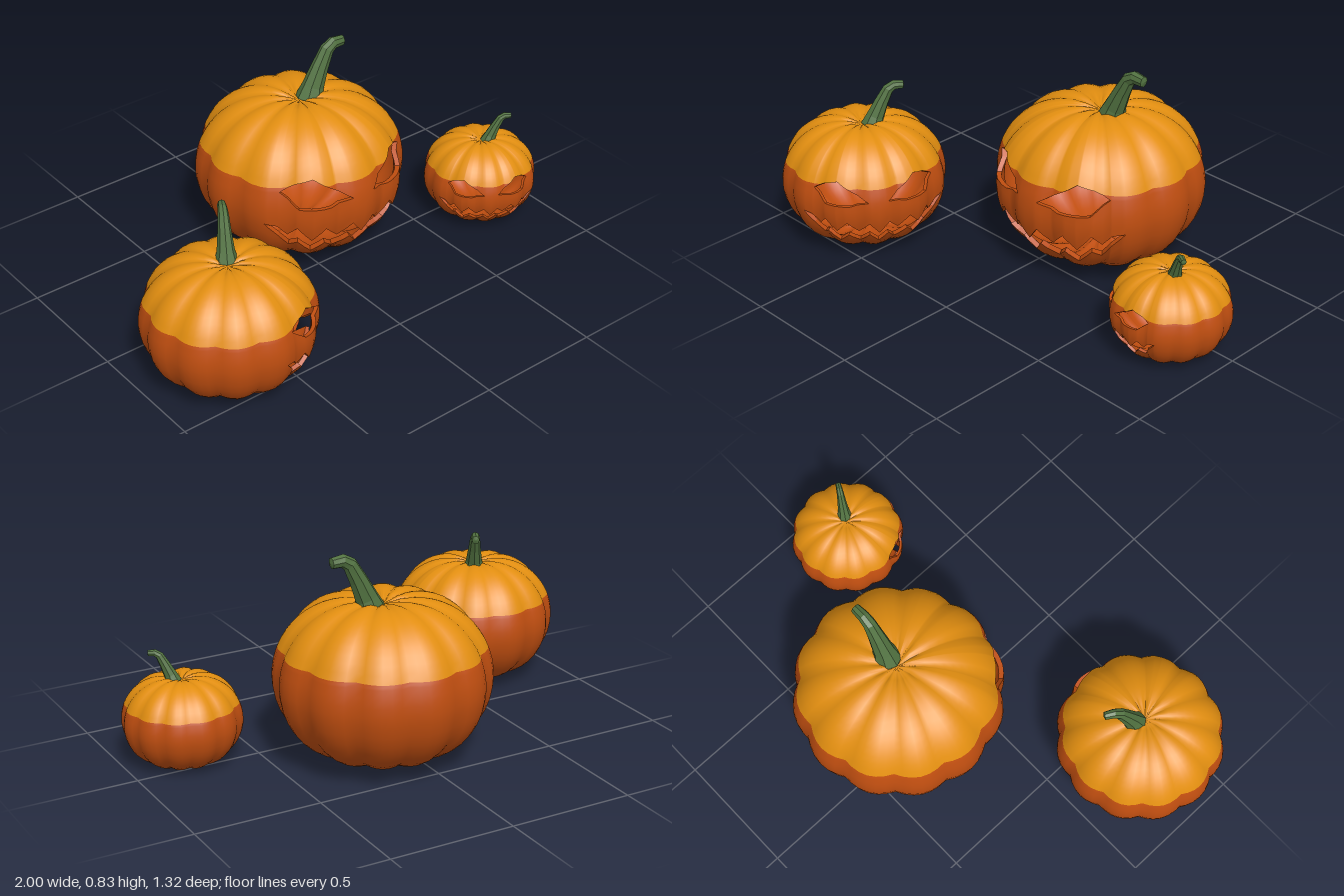
import * as THREE from 'three';
import { mergeVertices } from 'three/addons/utils/BufferGeometryUtils.js';

const mat = (name, color) => {
  const m = new THREE.MeshStandardMaterial({ color, side: THREE.DoubleSide });
  m.name = name;
  return m;
};

const SEAM = 0.43, MID = 0.312, HALF = 0.325, WALL = 0.02;

// Carved openings: [angle from the front in degrees, height], mirrored left and right
const EYE_TOP = [[7, 0.365], [17, 0.41], [30, 0.465], [40, 0.447], [49, 0.413]];
const EYE_BOTTOM = [[7, 0.365], [20, 0.345], [38, 0.35], [49, 0.413]];
const MOUTH_TOP = [[0, 0.185], [7, 0.247], [15, 0.19], [23, 0.252], [31, 0.195], [39, 0.262], [45, 0.217], [50, 0.265], [57, 0.275]];
const MOUTH_BOTTOM = [[0, 0.12], [7, 0.172], [15, 0.11], [23, 0.168], [31, 0.12], [39, 0.182], [45, 0.15], [50, 0.215], [57, 0.275]];

function heightAt(table, deg) {
  const a = Math.abs(deg);
  if (a <= table[0][0]) return table[0][1];
  for (let i = 1; i < table.length; i++) {
    const [a0, h0] = table[i - 1], [a1, h1] = table[i];
    if (a <= a1) return h0 + (h1 - h0) * (a - a0) / (a1 - a0);
  }
  return table[table.length - 1][1];
}

const latitude = (y) => Math.asin((y - MID) / HALF);

// Point on the ribbed, dimpled squash body
function skin(deg, phi, inset) {
  const t = THREE.MathUtils.degToRad(deg);
  const c = Math.pow(Math.max(0, Math.cos(phi)), 0.8);
  const pole = 1 - c;
  const groove = 1 - Math.abs(Math.cos(6 * t));
  const r = c * (0.418 * (1 - (0.05 + 0.08 * pole) * groove) - inset);
  const y = MID + (HALF - inset) * Math.sin(phi) * (1 - 0.12 * pole ** 4 - 0.04 * pole * groove);
  return [r * Math.sin(t), y, r * Math.cos(t)];
}

// Angular columns: regular steps plus every corner of the carving
const angles = new Set();
for (let a = -180; a <= 180; a += 5) angles.add(a);
for (const table of [EYE_TOP, EYE_BOTTOM, MOUTH_TOP, MOUTH_BOTTOM])
  for (const [a] of table) { angles.add(a); angles.add(-a); }
const columns = [...angles].sort((a, b) => a - b);

function finish(pos, smooth) {
  let g = new THREE.BufferGeometry();
  g.setAttribute('position', new THREE.Float32BufferAttribute(pos, 3));
  if (smooth) g = mergeVertices(g, 1e-5);
  g.computeVertexNormals();
  return g;
}

const quad = (pos, a, b, c, d) => pos.push(...a, ...b, ...c, ...a, ...c, ...d);

// Bands of wall: [lower latitude, upper latitude, rows]
function wall(bands, inset) {
  const pos = [];
  for (const [lo, hi, rows] of bands)
    for (let i = 0; i < columns.length - 1; i++) {
      const at = (deg, k) => skin(deg, THREE.MathUtils.lerp(lo(deg), hi(deg), k / rows), inset);
      const [a, b] = [columns[i], columns[i + 1]];
      for (let k = 0; k < rows; k++) {
        if (hi(a) - lo(a) < 1e-6 && hi(b) - lo(b) < 1e-6) continue;
        const q = [at(a, k), at(b, k), at(b, k + 1), at(a, k + 1)];
        if (inset) q.reverse();
        quad(pos, ...q);
      }
    }
  return finish(pos, true);
}

// Cut thickness around an opening
function rim(lowTable, highTable) {
  const pos = [];
  const gap = (d) => heightAt(highTable, d) - heightAt(lowTable, d) > 1e-6;
  for (let i = 0; i < columns.length - 1; i++) {
    const [a, b] = [columns[i], columns[i + 1]];
    if (!gap(a) && !gap(b)) continue;
    for (const table of [lowTable, highTable]) {
      const pa = latitude(heightAt(table, a)), pb = latitude(heightAt(table, b));
      quad(pos, skin(a, pa, 0), skin(b, pb, 0), skin(b, pb, WALL), skin(a, pa, WALL));
    }
  }
  return finish(pos, false);
}

// Bent, tapering stem made of eight-sided rings
function stemGeometry() {
  const path = [[0.055, 0.585, 0.062], [0.07, 0.635, 0.046], [0.105, 0.71, 0.036], [0.14, 0.775, 0.029], [0.17, 0.793, 0.026], [0.215, 0.79, 0.022]];
  const sides = 8, pos = [];
  const rings = path.map(([x, y, r], i) => {
    const p = path[Math.max(0, i - 1)], n = path[Math.min(path.length - 1, i + 1)];
    const len = Math.hypot(n[0] - p[0], n[1] - p[1]);
    const tx = (n[0] - p[0]) / len, ty = (n[1] - p[1]) / len;
    return Array.from({ length: sides }, (_, k) => {
      const a = (k / sides) * Math.PI * 2;
      const u = Math.cos(a) * r, w = Math.sin(a) * r * 0.9;
      return [x + ty * u, y - tx * u, w];
    });
  });
  for (let i = 0; i < rings.length - 1; i++)
    for (let k = 0; k < sides; k++) {
      const n = (k + 1) % sides;
      quad(pos, rings[i][k], rings[i + 1][k], rings[i + 1][n], rings[i][n]);
    }
  const [ex, ey] = path[path.length - 1];
  const tip = rings[rings.length - 1];
  for (let k = 0; k < sides; k++) pos.push(...tip[k], ex + 0.006, ey, 0, ...tip[(k + 1) % sides]);
  return finish(pos, false);
}

export function createModel() {
  const orange = mat('deep orange', 0xc04e10);
  const amber = mat('amber', 0xe28e10);
  const green = mat('stem green', 0x50703f);

  const edge = (table) => (d) => latitude(heightAt(table, d));
  const seam = (d) => latitude(Math.max(SEAM, heightAt(EYE_TOP, d)));
  const lower = [
    [() => -Math.PI / 2, edge(MOUTH_BOTTOM), 10],
    [edge(MOUTH_TOP), edge(EYE_BOTTOM), 4],
    [edge(EYE_TOP), seam, 2],
  ];
  const upper = [[seam, () => Math.PI / 2, 12]];

  const parts = [
    ['lowerSkin', wall(lower, 0), orange],
    ['upperSkin', wall(upper, 0), amber],
    ['lowerInside', wall(lower, WALL), orange],
    ['upperInside', wall(upper, WALL), amber],
    ['eyeRims', rim(EYE_BOTTOM, EYE_TOP), orange],
    ['mouthRim', rim(MOUTH_BOTTOM, MOUTH_TOP), orange],
    ['stem', stemGeometry(), green],
  ];

  const model = new THREE.Group();
  model.name = 'carvedPumpkins';
  // name, scale, position, turn in degrees
  const layout = [
    ['largePumpkin', 1, [0.095, 0.015, -0.245], 0],
    ['mediumPumpkin', 0.79, [-0.67, 0.005, 0.325], 60],
    ['smallPumpkin', 0.55, [0.772, -0.002, 0.09], -30],
  ];
  for (const [name, scale, position, turn] of layout) {
    const pumpkin = new THREE.Group();
    pumpkin.name = name;
    for (const [partName, geometry, material] of parts) {
      const mesh = new THREE.Mesh(geometry, material);
      mesh.name = partName;
      pumpkin.add(mesh);
    }
    pumpkin.scale.setScalar(scale);
    pumpkin.position.set(...position);
    pumpkin.rotation.y = THREE.MathUtils.degToRad(turn);
    model.add(pumpkin);
  }
  return model;
}
